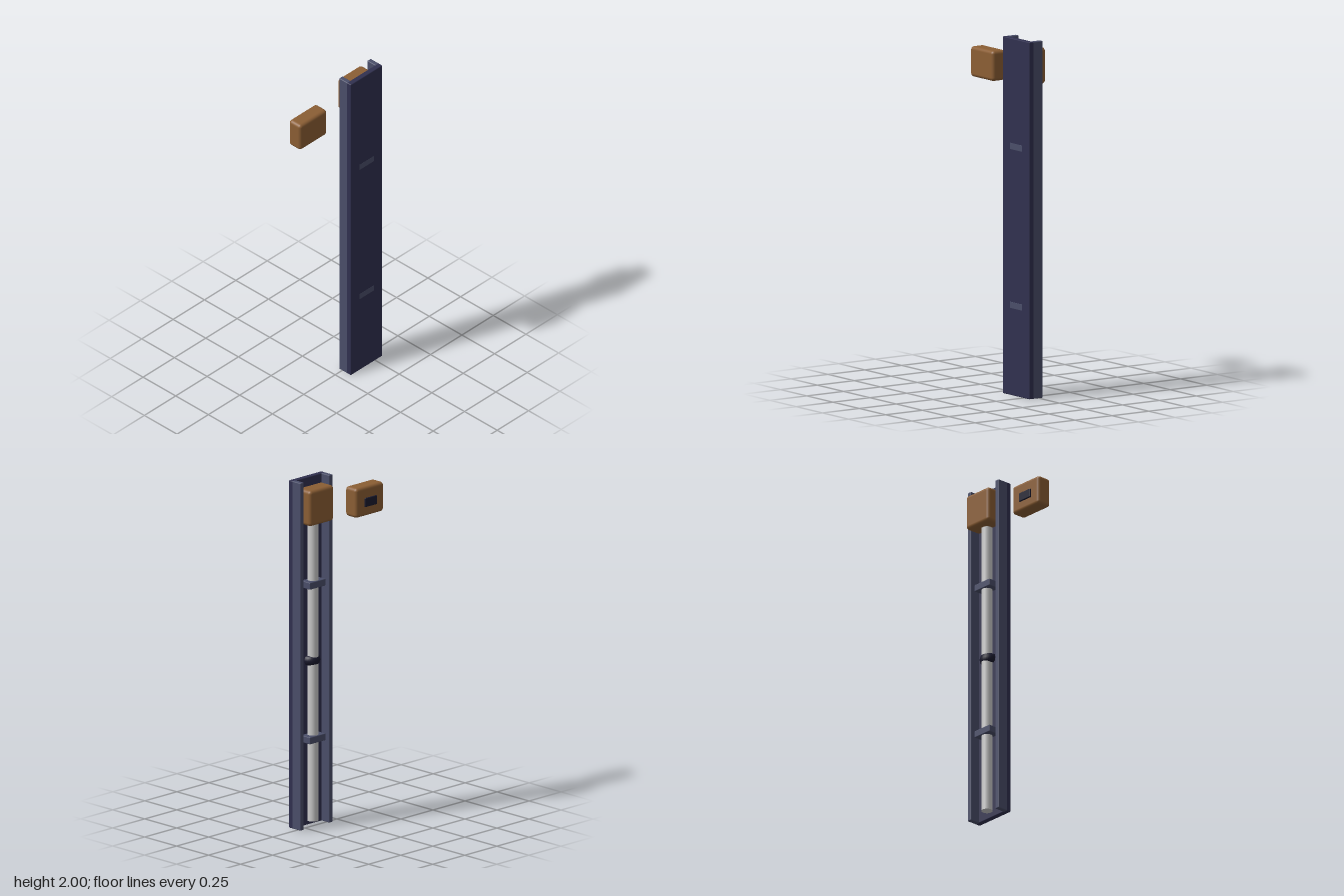
import * as THREE from 'three';
import { RoundedBoxGeometry } from 'three/addons/geometries/RoundedBoxGeometry.js';

const material = (color) => new THREE.MeshStandardMaterial({ color });

export function createModel() {
  const group = new THREE.Group();
  const wood = material(0x8b5e34);
  const steel = material(0x4a4e69);
  const navy = material(0x30304f);
  const dark = material(0x1a1a2e);
  const silver = material(0xc4c4c0);

  const add = (name, geometry, mat, x, y, z) => {
    const mesh = new THREE.Mesh(geometry, mat);
    mesh.name = name;
    mesh.position.set(x, y, z);
    group.add(mesh);
    return mesh;
  };

  // Rounded box given by its lower and upper limits
  const block = (name, mat, [x0, y0, z0], [x1, y1, z1], radius) =>
    add(name, new RoundedBoxGeometry(x1 - x0, y1 - y0, z1 - z0, 3, radius), mat,
      (x0 + x1) / 2, (y0 + y1) / 2, (z0 + z1) / 2);

  const cx = 0.1815; // centre line of the channel

  // Tall channel: front plate and two side flanges
  block('channelPlate', navy, [0.055, 0, 0.036], [0.308, 2, 0.067], 0.005);
  block('rightFlange', steel, [0.055, 0, -0.024], [0.083, 2, 0.043], 0.005);
  block('leftFlange', steel, [0.28, 0, -0.024], [0.308, 2, 0.043], 0.005);

  // Long rod running up the channel into the carriage
  add('rod', new THREE.CylinderGeometry(0.031, 0.031, 1.77, 32), silver, cx, 0.915, 0.005);

  // Brackets holding the rod
  for (const y of [0.505, 1.395]) {
    block('rodBracket', steel, [cx - 0.061, y - 0.02, -0.033], [cx + 0.061, y + 0.02, 0.0675], 0.004);
  }

  // Half-ring grip around the back of the rod
  const grip = add('rodGrip', new THREE.TorusGeometry(0.035, 0.017, 8, 14, Math.PI), dark, cx, 0.954, 0.02);
  grip.rotation.x = -Math.PI / 2;
  grip.scale.z = 1.6;

  // Wooden carriage at the top of the channel
  block('carriage', wood, [0.088, 1.75, -0.07], [0.277, 1.955, 0.034], 0.02);

  // Separate wooden block with a dark panel on its back
  block('looseBlock', wood, [-0.31, 1.72, -0.06], [-0.092, 1.89, 0.03], 0.019);
  block('backPanel', dark, [-0.247, 1.775, -0.068], [-0.156, 1.826, -0.05], 0.004);

  return group;
}
